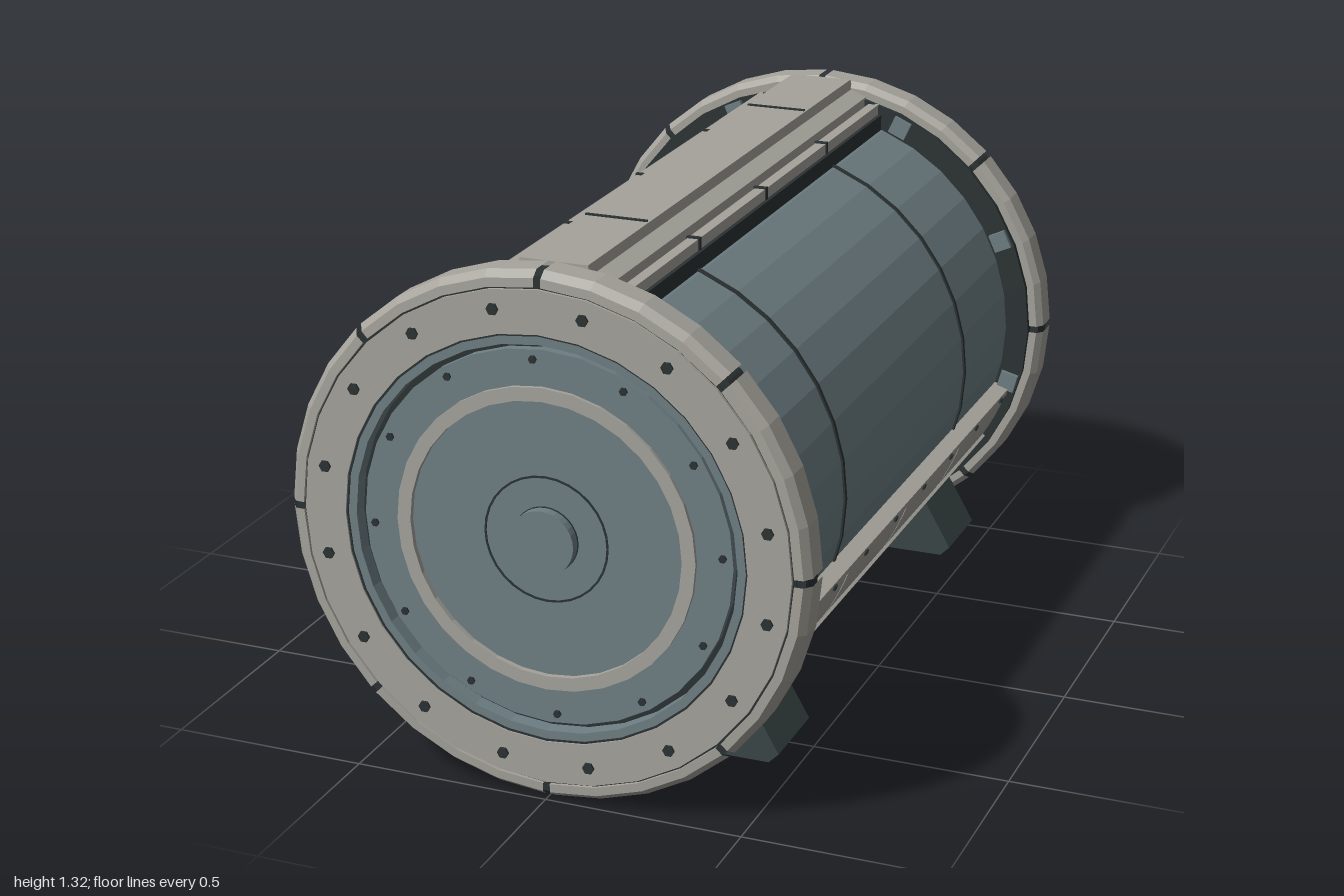
import * as THREE from 'three';

const CY = 0.661, DEG = Math.PI / 180;
const mat = (name, color) => {
  const m = new THREE.MeshStandardMaterial({ color });
  m.name = name;
  return m;
};

export function createModel() {
  const shell = mat('warm grey shell', 0xa5a39b);
  const blue = mat('blue grey tank', 0x6e7f84);
  const dark = mat('dark gap', 0x2b3233);
  const foot = mat('dark foot', 0x3b4646);
  const slat = mat('vent slat grey', 0x626665);

  // Faceted mesh with hard edges
  function add(parent, name, geo, material) {
    const g = geo.index ? geo.toNonIndexed() : geo;
    g.computeVertexNormals();
    const m = new THREE.Mesh(g, material);
    m.name = name;
    parent.add(m);
    return m;
  }
  // Profile of [radius, z] turned round the z axis from angle a, in degrees from +x
  const turn = (pts, segs = 32, a = 0, len = 360) =>
    new THREE.LatheGeometry(pts.map(p => new THREE.Vector2(...p)), segs, (a + 90) * DEG, len * DEG)
      .rotateX(Math.PI / 2);
  // Solid ring of rectangular section
  const ring = (r0, r1, z0, z1, segs) => turn([[r0, z0], [r1, z0], [r1, z1], [r0, z1], [r0, z0]], segs);
  const disc = (r, z0, z1, segs = 32) => turn([[0, z0], [r, z0], [r, z1], [0, z1]], segs);
  // Curved slab between two radii and two angles
  function sector(r0, r1, a0, a1, z0, z1, segs) {
    const s = new THREE.Shape();
    s.absarc(0, 0, r1, a0 * DEG, a1 * DEG, false);
    s.absarc(0, 0, r0, a1 * DEG, a0 * DEG, true);
    return new THREE.ExtrudeGeometry(s, { depth: z1 - z0, bevelEnabled: false, curveSegments: segs })
      .translate(0, 0, z0);
  }
  const prism = (pts, z0, z1) =>
    new THREE.ExtrudeGeometry(new THREE.Shape(pts.map(p => new THREE.Vector2(...p))),
      { depth: z1 - z0, bevelEnabled: false }).translate(0, 0, z0);
  const box = (x0, x1, y0, y1, z0, z1) =>
    new THREE.BoxGeometry(x1 - x0, y1 - y0, z1 - z0)
      .translate((x0 + x1) / 2, (y0 + y1) / 2, (z0 + z1) / 2);
  // Box lying on the drum at an angle: radial r0..r1, tangential width w
  const onDrum = (a, r0, r1, w, z0, z1) => box(r0, r1, -w / 2, w / 2, z0, z1).rotateZ(a * DEG);

  function endCap() {
    const g = new THREE.Group();
    g.name = 'endCap';
    add(g, 'flange', ring(0.5, 0.625, 0.875, 0.9), dark);
    add(g, 'rimCore', ring(0.6, 0.647, 0.9, 0.982), dark);
    add(g, 'faceRing', ring(0.51, 0.617, 0.892, 0.994), shell);
    add(g, 'faceSeam', ring(0.61, 0.625, 0.9, 0.986), dark);
    // Eight chamfered rim segments with narrow gaps
    for (let i = 0; i < 8; i++) {
      add(g, 'rimSegment', turn([[0.622, 0.89], [0.645, 0.89], [0.66, 0.908], [0.66, 0.972],
        [0.644, 0.993], [0.622, 0.994], [0.622, 0.89]], 4, i * 45 + 0.8, 43.4), shell);
    }
    // Recessed tank lid
    add(g, 'lidSeam', ring(0.505, 0.512, 0.9, 0.99), dark);
    add(g, 'lidCollar', ring(0.484, 0.507, 0.9, 0.988), blue);
    add(g, 'lidGroove', ring(0.46, 0.486, 0.9, 0.95), dark);
    add(g, 'lidPlate', ring(0.376, 0.468, 0.9, 0.972), blue);
    add(g, 'lidBand', ring(0.345, 0.379, 0.9, 0.982), shell);
    add(g, 'lidCentre', disc(0.347, 0.9, 0.968), blue);
    add(g, 'hubSeam', ring(0.153, 0.158, 0.96, 0.97), dark);
    add(g, 'hubFoot', ring(0.078, 0.082, 0.96, 0.971), dark);
    add(g, 'hub', disc(0.08, 0.96, 0.995), blue);
    // Bolts
    const bolt = (r, a, size, z0, z1) => add(g, 'bolt', disc(size, z0, z1, 6)
      .translate(r * Math.cos(a * DEG), r * Math.sin(a * DEG), 0), dark);
    for (let i = 0; i < 16; i++) bolt(0.57, 11.25 + i * 22.5, 0.015, 0.985, 1);
    for (let i = 0; i < 12; i++) bolt(0.443, 3 + i * 30, 0.01, 0.965, 0.978);
    return g;
  }

  function spine() {
    const g = new THREE.Group();
    g.name = 'spine';
    add(g, 'spineBed', box(-0.185, 0.185, 0.5, 0.572, -0.88, 0.88), dark);
    add(g, 'spineBeam', prism([[-0.135, 0.53], [0.135, 0.53], [0.135, 0.615], [0.09, 0.632],
      [0.085, 0.657], [-0.085, 0.657], [-0.09, 0.632], [-0.135, 0.615]], -0.9, 0.9), shell);
    for (const z of [-0.54, 0.54]) {
      add(g, 'spineSeam', box(-0.08, 0.08, 0.65, 0.661, z - 0.004, z + 0.004), dark);
    }
    for (const s of [-1, 1]) {
      const x0 = Math.min(s * 0.147, s * 0.175), x1 = x0 + 0.028;
      add(g, 'spineRail', box(x0, x1, 0.55, 0.6, -0.885, 0.885), shell);
      for (const z of [-0.45, 0, 0.45]) {
        add(g, 'railClamp', box(x0 - 0.003, x1 + 0.003, 0.56, 0.604, z - 0.006, z + 0.006), dark);
      }
    }
    return g;
  }

  function flank() {
    const g = new THREE.Group();
    g.name = 'flank';
    // Lower shell: backing and three rows of panels
    add(g, 'panelBacking', sector(0.5, 0.588, -72, -18, -0.88, 0.88, 6), dark);
    const cuts = [-0.885, -0.45, 0, 0.45, 0.885];
    for (let i = 0; i < 4; i++) {
      const z0 = cuts[i] + 0.006, z1 = cuts[i + 1] - 0.006;
      add(g, 'upperPanel', sector(0.57, 0.6, -33, -19, z0, z1, 2), shell);
      add(g, 'lowerPanel', sector(0.57, 0.6, -72, -50.3, z0, z1, 2), shell);
    }
    add(g, 'middlePanel', sector(0.57, 0.598, -50, -33, -0.885, 0.885, 2), shell);
    add(g, 'panelRidge', onDrum(-33.2, 0.58, 0.608, 0.014, -0.885, 0.885), shell);
    add(g, 'edgeRail', onDrum(-18, 0.55, 0.603, 0.022, -0.885, 0.885), shell);
    for (let i = 0; i < 8; i++) {
      const z = -0.805 + i * 0.23;
      add(g, 'edgeBolt', onDrum(-18.2, 0.59, 0.608, 0.012, z - 0.008, z + 0.008), dark);
    }
    // Slatted vent
    add(g, 'ventPlate', onDrum(-42, 0.593, 0.601, 0.108, 0.18, 0.78), dark);
    for (let i = 0; i < 12; i++) {
      const z = 0.205 + i * 0.049;
      add(g, 'ventSlat', onDrum(-42, 0.598, 0.605, 0.095, z - 0.007, z + 0.007), slat);
    }
    // Control plate with small keys
    add(g, 'controlPlate', onDrum(-42, 0.593, 0.601, 0.1, -0.4, -0.16), dark);
    [-0.225, -0.285, -0.31, -0.33].forEach((z, i) => add(g, 'controlKey',
      onDrum(-42.4, 0.598, 0.604, i ? 0.03 : 0.045, z - 0.007, z + 0.007), slat));
    // Wedge feet
    for (const z of [0.65, -0.68]) {
      add(g, 'foot', prism([[0.36, 0.13 - CY], [0.515, 0.13 - CY], [0.54, 0.155 - CY],
        [0.462, 0.29 - CY], [0.4, 0.27 - CY]], z, z + 0.21), foot);
    }
    // Clips holding the tank to its flanges
    for (const a of [66, 25, -15]) {
      for (const s of [-1, 1]) {
        add(g, 'clip', onDrum(a, 0.57, 0.618, 0.05, s * 0.882 - 0.02, s * 0.882 + 0.02), blue);
      }
    }
    return g;
  }

  const root = new THREE.Group();
  root.name = 'storageDrum';
  const body = new THREE.Group();
  body.name = 'drumBody';
  body.position.y = CY;
  root.add(body);

  // Tank with two thin hoops
  add(body, 'tank', turn([[0, -0.89], [0.562, -0.89], [0.562, 0.89], [0, 0.89]], 36), blue);
  for (const z of [-0.48, 0.48]) add(body, 'tankHoop', ring(0.55, 0.567, z - 0.006, z + 0.006, 36), dark);

  // The two ends and flanks match by a half turn; the spine repeats underneath
  for (const turnY of [0, Math.PI]) {
    for (const part of [endCap(), flank()]) {
      part.rotation.y = turnY;
      body.add(part);
    }
    const beam = spine();
    beam.rotation.z = turnY;
    body.add(beam);
  }
  return root;
}
